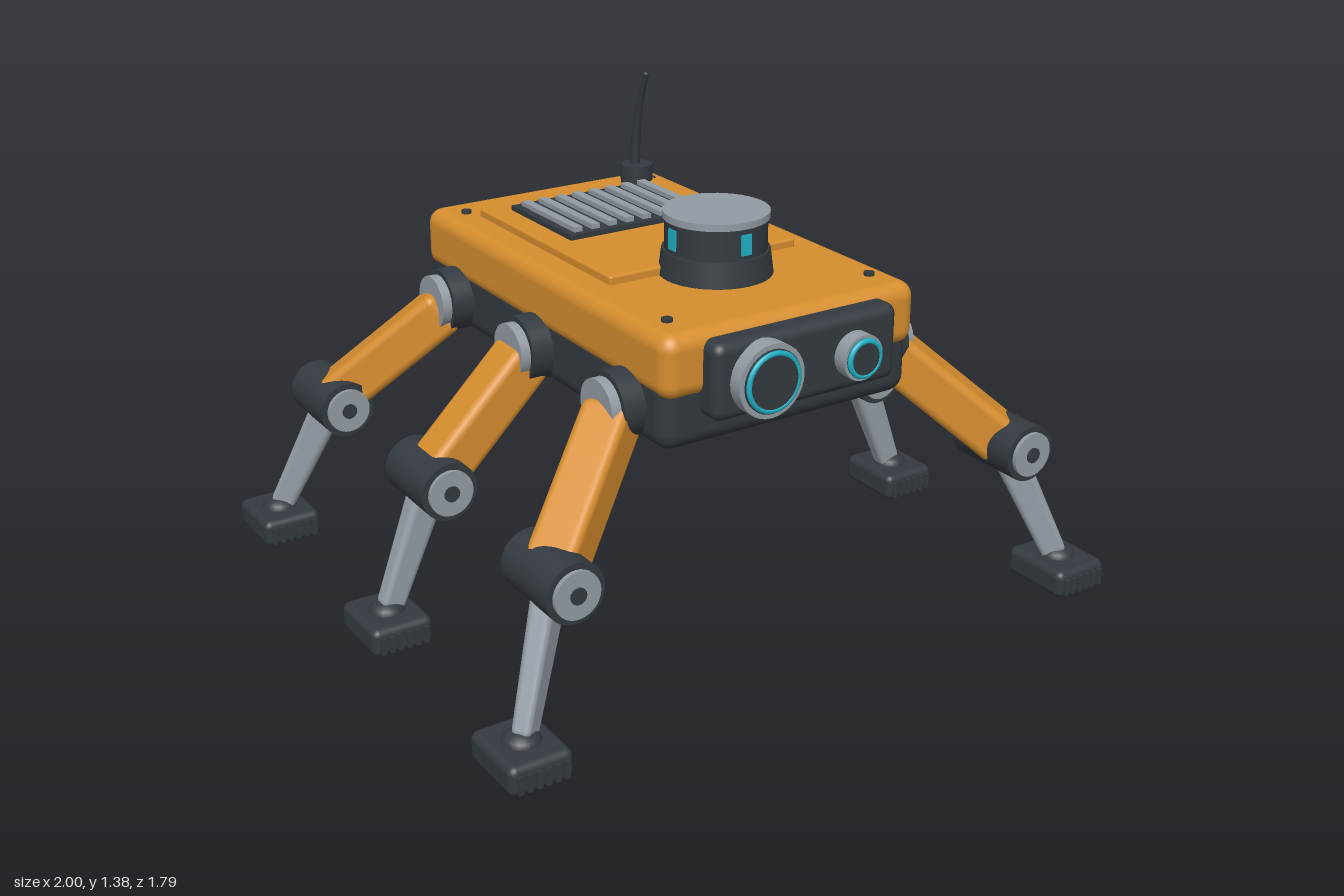
import * as THREE from 'three';
import { RoundedBoxGeometry } from 'three/addons/geometries/RoundedBoxGeometry.js';

const paint = (name, color) => {
  const m = new THREE.MeshStandardMaterial({ color });
  m.name = name;
  return m;
};

export function createModel() {
  const orange = paint('orange shell', 0xd68d2e);
  const dark = paint('dark rubber', 0x343a40);
  const grey = paint('grey metal', 0x939ba3);
  const teal = paint('teal glass', 0x1fb0c4);

  const model = new THREE.Group();
  model.name = 'sixLeggedRobot';

  const add = (parent, name, geo, mat, x = 0, y = 0, z = 0) => {
    const mesh = new THREE.Mesh(geo, mat);
    mesh.name = name;
    mesh.position.set(x, y, z);
    parent.add(mesh);
    return mesh;
  };
  const box = (w, h, d, r = 0.01, seg = 2) => new RoundedBoxGeometry(w, h, d, seg, r);
  // Cylinder along a chosen axis
  const cyl = (r, len, axis = 'y', seg = 32, r2 = r) => {
    const g = new THREE.CylinderGeometry(r, r2, len, seg);
    if (axis === 'x') g.rotateZ(-Math.PI / 2);
    if (axis === 'z') g.rotateX(Math.PI / 2);
    return g;
  };
  // Bevelled bar from a to b, narrowing towards b
  const beam = (parent, name, a, b, w, h, r, taper, mat) => {
    const dir = b.clone().sub(a);
    const len = dir.length();
    const g = box(w, h, len, r);
    const p = g.attributes.position;
    for (let i = 0; i < p.count; i++) {
      const s = 1 - (1 - taper) * (p.getZ(i) / len + 0.5);
      p.setXY(i, p.getX(i) * s, p.getY(i) * s);
    }
    const zAxis = dir.normalize();
    const xAxis = new THREE.Vector3(0, 1, 0).cross(zAxis).normalize();
    const yAxis = zAxis.clone().cross(xAxis);
    const mesh = add(parent, name, g, mat);
    mesh.quaternion.setFromRotationMatrix(new THREE.Matrix4().makeBasis(xAxis, yAxis, zAxis));
    mesh.position.copy(a).add(b).multiplyScalar(0.5);
  };

  // Body
  add(model, 'upperShell', box(0.82, 0.18, 1.345, 0.045, 4), orange, 0, 0.912, -0.008);
  add(model, 'lowerChassis', box(0.81, 0.21, 1.315, 0.05, 3), dark, 0, 0.78, -0.008);
  add(model, 'deckPanel', box(0.62, 0.04, 0.75, 0.008), orange, 0, 1.007, -0.135);
  add(model, 'rearPanel', box(0.62, 0.12, 0.03, 0.006), orange, 0, 0.848, -0.685);
  for (const x of [-0.33, 0.33]) for (const z of [-0.555, 0.55])
    add(model, 'shellBolt', cyl(0.015, 0.02, 'y', 12), dark, x, 1.002, z);

  // Cooling grille
  const grille = new THREE.Group();
  grille.name = 'grille';
  model.add(grille);
  add(grille, 'grilleTray', new THREE.BoxGeometry(0.48, 0.03, 0.35), dark, 0, 1.027, -0.26);
  for (let i = 0; i < 8; i++)
    add(grille, 'grilleSlat', new THREE.BoxGeometry(0.027, 0.018, 0.31), grey, -0.203 + i * 0.058, 1.047, -0.26);

  // Scanner turret
  const scanner = new THREE.Group();
  scanner.name = 'scanner';
  scanner.position.set(0, 0, 0.29);
  model.add(scanner);
  add(scanner, 'scannerBase', cyl(0.15, 0.075, 'y', 40, 0.16), dark, 0, 1.035, 0);
  add(scanner, 'scannerDrum', cyl(0.142, 0.1, 'y', 40), dark, 0, 1.115, 0);
  add(scanner, 'scannerCap', cyl(0.148, 0.02, 'y', 40), grey, 0, 1.17, 0);
  for (let i = 0; i < 4; i++) {
    const a = (i * Math.PI) / 2;
    const win = add(scanner, 'scannerWindow', new THREE.BoxGeometry(0.032, 0.058, 0.008), teal,
      Math.sin(a) * 0.142, 1.115, Math.cos(a) * 0.142);
    win.rotation.y = a;
  }

  // Antenna with a bent, tapering whip
  add(model, 'antennaBase', cyl(0.05, 0.07, 'y', 24), dark, 0.25, 1.043, -0.512);
  const curve = new THREE.CatmullRomCurve3([[1.06, -0.522], [1.17, -0.513], [1.28, -0.49], [1.373, -0.457]]
    .map(([y, z]) => new THREE.Vector3(0.25, y, z)));
  const whip = new THREE.TubeGeometry(curve, 16, 0.016, 10);
  const wp = whip.attributes.position;
  for (let i = 0; i < wp.count; i++) {
    const t = Math.floor(i / 11) / 16;
    const c = curve.getPointAt(t);
    const v = new THREE.Vector3().fromBufferAttribute(wp, i).sub(c).multiplyScalar(1 - 0.4 * t).add(c);
    wp.setXYZ(i, v.x, v.y, v.z);
  }
  add(model, 'antennaWhip', whip, dark);
  add(model, 'antennaTip', new THREE.SphereGeometry(0.0096, 10, 6), dark, 0.25, 1.373, -0.457);

  // Camera head
  add(model, 'cameraHousing', box(0.59, 0.215, 0.1, 0.03, 3), dark, 0, 0.872, 0.673);
  for (const [x, r] of [[-0.15, 0.102], [0.145, 0.064]]) {
    const eye = new THREE.Group();
    eye.name = 'camera';
    eye.position.set(x, 0.87, 0);
    model.add(eye);
    add(eye, 'lensBarrel', cyl(r, 0.06, 'z'), grey, 0, 0, 0.735);
    add(eye, 'lensRim', cyl(r * 0.86, 0.03, 'z'), dark, 0, 0, 0.755);
    add(eye, 'lensRing', new THREE.TorusGeometry(r * 0.76, 0.008, 10, 40), teal, 0, 0, 0.771);
    add(eye, 'lensGlass', cyl(r * 0.72, 0.03, 'z'), dark, 0, 0, 0.762);
  }

  // Legs: side, hip z, knee z, foot z
  for (const side of [-1, 1]) for (const [hz, kz, fz] of [[0.475, 0.675, 0.777], [0, 0, 0], [-0.475, -0.675, -0.783]]) {
    const leg = new THREE.Group();
    leg.name = (hz > 0 ? 'front' : hz < 0 ? 'rear' : 'middle') + (side > 0 ? 'LeftLeg' : 'RightLeg');
    model.add(leg);
    const hip = new THREE.Vector3(side * 0.445, 0.755, hz);
    const knee = new THREE.Vector3(side * 0.752, 0.452, kz);
    const ankle = new THREE.Vector3(side * 0.9, 0.085, fz);

    add(leg, 'hipHousing', cyl(0.095, 0.1, 'x'), dark, side * 0.42, 0.773, hz);
    add(leg, 'hipRing', cyl(0.08, 0.03, 'x'), grey, side * 0.484, 0.773, hz);
    beam(leg, 'thigh', hip, knee, 0.138, 0.138, 0.026, 1, orange);

    add(leg, 'kneeDrum', cyl(0.084, 0.23, 'z'), dark, knee.x, knee.y, kz);
    add(leg, 'kneeCaps', cyl(0.066, 0.254, 'z'), grey, knee.x, knee.y, kz);
    add(leg, 'kneePin', cyl(0.023, 0.264, 'z', 16), dark, knee.x, knee.y, kz);
    beam(leg, 'shin', knee, ankle, 0.074, 0.1, 0.022, 0.72, grey);

    // Foot with ankle joint and tread ribs
    const foot = new THREE.Group();
    foot.name = 'foot';
    foot.position.set(side * 0.908, 0, fz);
    leg.add(foot);
    add(foot, 'footPad', box(0.182, 0.085, 0.22, 0.022, 3), dark, 0, 0.0425, 0);
    const ball = add(foot, 'ankleBall', new THREE.SphereGeometry(0.053, 20, 12), dark, 0, 0.08, 0);
    ball.scale.y = 0.65;
    for (let i = 0; i < 6; i++)
      add(foot, 'treadRib', new THREE.BoxGeometry(0.014, 0.05, 0.02), dark, -0.065 + i * 0.026, 0.038, 0.108);
  }
  return model;
}
